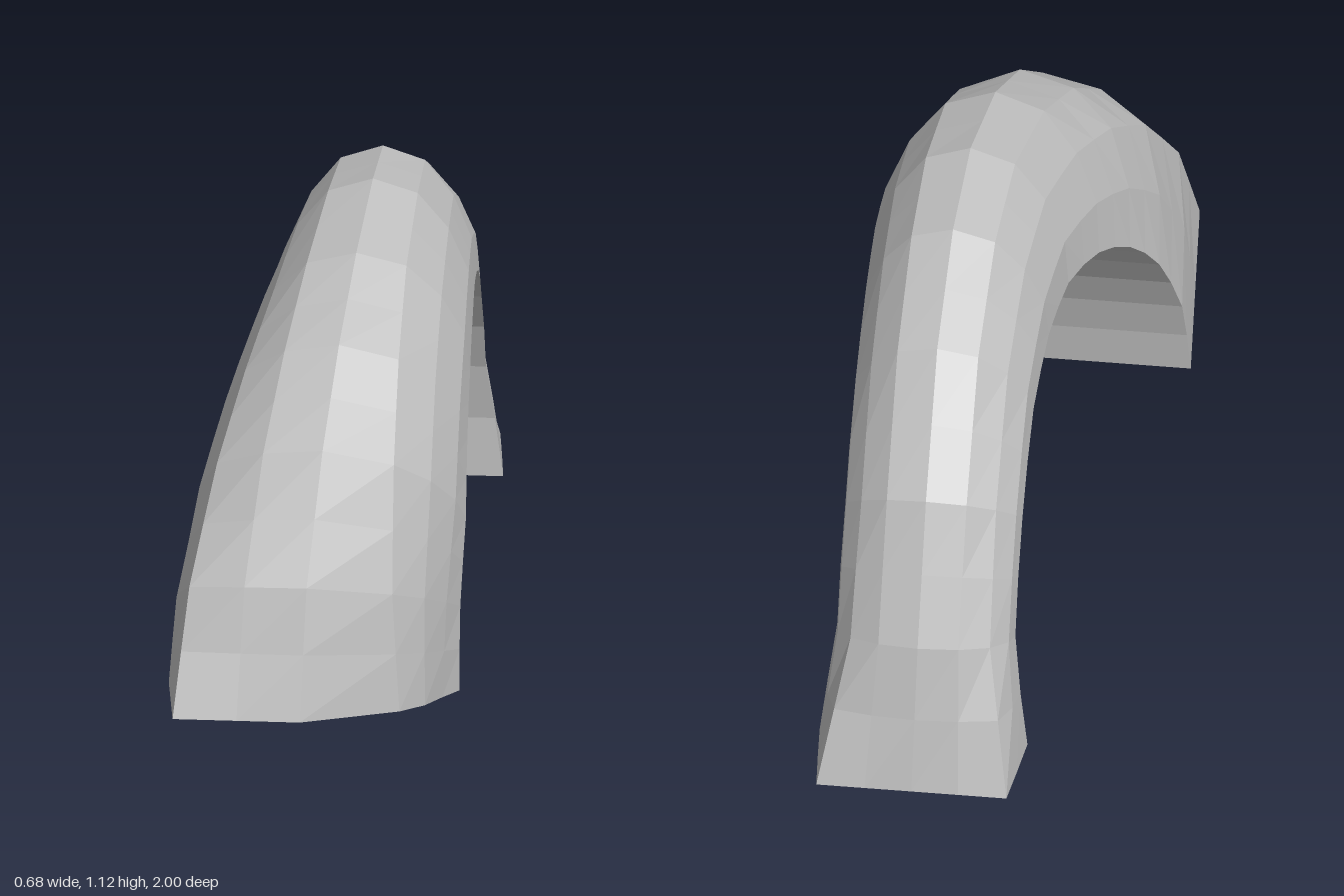
import * as THREE from 'three';

// Stations from front foot to back foot:
// [inner angle (deg), outer z, outer y, left x, right x, front-foot blend, back-foot blend]
const STATIONS = [
  [2, 1.0, 0.25, -0.34, 0.32, 1, 0],
  [19, 0.9, 0.54, -0.325, 0.32, 0.65, 0],
  [36, 0.72, 0.8, -0.285, 0.327, 0.33, 0],
  [52, 0.5, 0.96, -0.235, 0.322, 0.15, 0],
  [68, 0.25, 1.07, -0.185, 0.318, 0, 0],
  [85, -0.04, 1.115, -0.14, 0.312, 0, 0],
  [101, -0.3, 1.07, -0.12, 0.305, 0, 0],
  [119, -0.56, 0.92, -0.11, 0.3, 0, 0],
  [141, -0.78, 0.65, -0.11, 0.295, 0, 0],
  [164, -0.92, 0.34, -0.11, 0.297, 0, 0.15],
  [188.5, -1.0, 0, -0.14, 0.335, 0, 1],
];

// Cross-sections as [u across, h from inner to outer side]
const ROUND = [[-1, 0], [-0.96, 0.32], [-0.76, 0.64], [-0.45, 0.9], [0, 1],
  [0.45, 0.9], [0.76, 0.64], [0.96, 0.32], [1, 0]];
const FRONT = [[-1, 0], [-0.945, 0.5], [-0.89, 1], [-0.45, 1], [-0.015, 1],
  [0.64, 0.62], [0.8, 0.43], [0.9, 0.2], [1, 0]];
const BACK = [[-1, 0], [-0.96, 0.5], [-0.915, 1], [-0.45, 1], [0, 1],
  [0.45, 1], [0.915, 1], [0.96, 0.5], [1, 0]];

const INNER = { z: -0.115, y: 0.1, r: 0.675 };

function section([deg, oz, oy, left, right, front, back]) {
  const a = THREE.MathUtils.degToRad(deg);
  const iz = INNER.z + INNER.r * Math.cos(a);
  const iy = Math.max(0, INNER.y + INNER.r * Math.sin(a));
  return ROUND.map((p, i) => {
    const mix = k => p[k] * (1 - front - back) + FRONT[i][k] * front + BACK[i][k] * back;
    const u = mix(0), h = mix(1);
    return [(left + right) / 2 + u * (right - left) / 2, iy + (oy - iy) * h, iz + (oz - iz) * h];
  });
}

function loftGeometry() {
  // Halfway sections keep the inner arc round while the outside stays faceted
  const rows = [];
  STATIONS.forEach((s, i) => {
    rows.push(section(s));
    const next = STATIONS[i + 1];
    if (next) rows.push(section(s.map((v, k) => (v + next[k]) / 2)));
  });
  const n = ROUND.length, last = (rows.length - 1) * n;
  const index = [];
  for (let s = 0; s < rows.length - 1; s++) {
    for (let i = 0; i < n; i++) {
      const j = (i + 1) % n;
      const a = s * n + i, b = s * n + j, c = b + n, d = a + n;
      index.push(a, b, c, a, c, d);
    }
  }
  // Flat soles at both feet
  for (let i = 1; i < n - 1; i++) {
    index.push(0, i + 1, i, last, last + i, last + i + 1);
  }
  const geometry = new THREE.BufferGeometry();
  geometry.setAttribute('position', new THREE.Float32BufferAttribute(rows.flat(2), 3));
  geometry.setIndex(index);
  const faceted = geometry.toNonIndexed();
  faceted.computeVertexNormals();
  return faceted;
}

export function createModel() {
  const group = new THREE.Group();
  group.name = 'archModel';
  const stone = new THREE.MeshStandardMaterial({ color: 0xbfbfbf });
  stone.name = 'lightGrey';
  const arch = new THREE.Mesh(loftGeometry(), stone);
  arch.name = 'arch';
  group.add(arch);
  return group;
}
